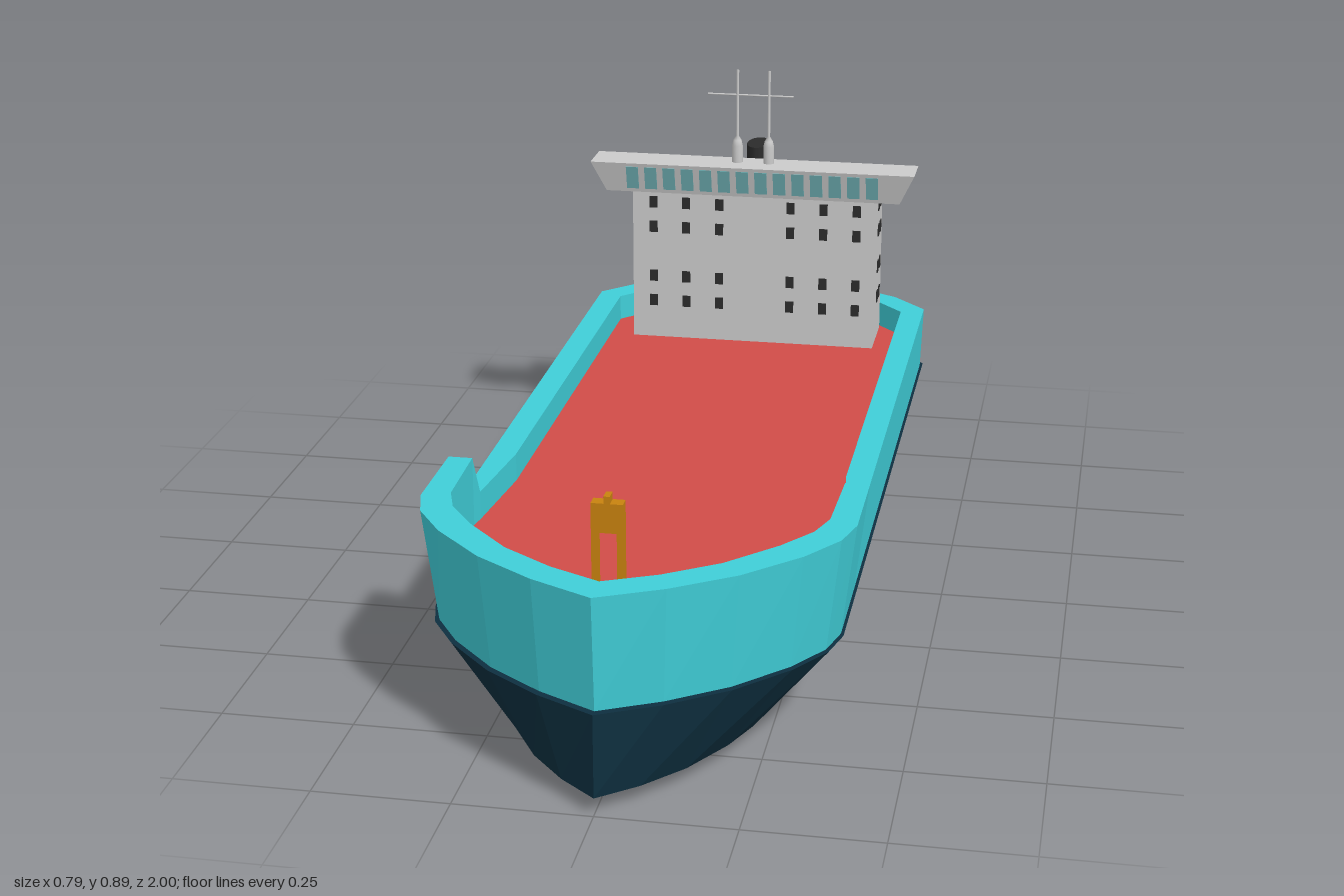
import * as THREE from 'three';

const mat = (name, color, extra = {}) => {
  const m = new THREE.MeshStandardMaterial({ color, ...extra });
  m.name = name;
  return m;
};

// Half outline from stern to bow: outer x, z, then inner rail x, z
const OUTLINE = [
  [0, -1, 0, -0.94], [0.16, -1, 0.14, -0.94], [0.3, -0.925, 0.26, -0.875],
  [0.375, -0.845, 0.325, -0.805], [0.375, 0.2, 0.325, 0.2], [0.375, 0.4, 0.345, 0.4],
  [0.375, 0.43, 0.35, 0.43], [0.375, 0.62, 0.345, 0.6], [0.357, 0.69, 0.325, 0.66],
  [0.305, 0.77, 0.275, 0.73], [0.215, 0.865, 0.19, 0.82], [0.11, 0.94, 0.095, 0.885],
  [0, 0.997, 0, 0.93],
];

// Closed ring of points made by mapping each half-outline row and mirroring it
function ring(fn) {
  const half = OUTLINE.map(fn);
  const other = half.slice(1, -1).reverse().map(([x, y, z]) => [-x, y, z]);
  return [...half, ...other];
}

// Faceted skin through successive rings
function loft(rings) {
  const pos = [];
  const same = (p, q) => p.every((v, i) => v === q[i]);
  const tri = (a, b, c) => {
    if (!same(a, b) && !same(b, c) && !same(a, c)) pos.push(...a, ...b, ...c);
  };
  for (let r = 0; r + 1 < rings.length; r++) {
    const a = rings[r], b = rings[r + 1], n = a.length;
    for (let i = 0; i < n; i++) {
      const j = (i + 1) % n;
      tri(a[i], b[i], a[j]);
      tri(a[j], b[i], b[j]);
    }
  }
  const g = new THREE.BufferGeometry();
  g.setAttribute('position', new THREE.Float32BufferAttribute(pos, 3));
  g.computeVertexNormals();
  return g;
}

export function createModel() {
  const teal = mat('teal paint', 0x40ced8, { flatShading: true });
  const navy = mat('dark hull paint', 0x0e2f3f, { flatShading: true });
  const red = mat('red deck', 0xd04c48);
  const grey = mat('light grey', 0xcbcbcb);
  const black = mat('black', 0x2b2b2b);
  const glass = mat('bridge glass', 0x70b0b4);
  const orange = mat('orange', 0xc8820f);

  const model = new THREE.Group();
  model.name = 'cargoShip';
  const add = (name, geo, material, x = 0, y = 0, z = 0, parent = model) => {
    const m = new THREE.Mesh(geo, material);
    m.name = name;
    m.position.set(x, y, z);
    parent.add(m);
    return m;
  };
  const group = (name) => {
    const g = new THREE.Group();
    g.name = name;
    model.add(g);
    return g;
  };
  // Box given by its limits
  const block = (name, material, [x0, x1], [y0, y1], [z0, z1], parent = model) =>
    add(name, new THREE.BoxGeometry(x1 - x0, y1 - y0, z1 - z0), material,
      (x0 + x1) / 2, (y0 + y1) / 2, (z0 + z1) / 2, parent);

  // Hull
  const railY = (z) => (z > 0.41 ? 0.405 : 0.325);
  const flare = (z) => (z > 0.41 ? 1.055 : 1);
  const chine = ring(([x, z]) => [x * 0.63, 0.033, z]);
  const waterline = ring(([x, z]) => [x, 0.19, z]);
  const base = ring(([x, z]) => [x * 0.985, 0.19, z * 0.985]);
  const outer = ring(([x, z]) => [x * flare(z), railY(z), z < -0.8 ? z * 0.985 : z]);
  const inner = ring(([, z, ix, iz]) => [ix, railY(z), iz]);
  const deckEdge = ring(([, , ix, iz]) => [ix, 0.27, iz]);
  const centre = (y) => ring(() => [0, y, 0]);
  add('hullBottom', loft([centre(0), ring(([x, z]) => [x * 0.37, 0, z * 0.6]), chine]), teal);
  add('lowerHull', loft([chine, waterline, base]), navy);
  add('upperHullAndBulwark', loft([base, outer, inner, deckEdge]), teal);
  add('deck', loft([deckEdge, centre(0.27)]), red);

  // Accommodation block and engine casing
  block('accommodation', grey, [-0.272, 0.272], [0.27, 0.616], [-0.85, -0.7]);
  block('engineCasing', grey, [-0.036, 0.036], [0.27, 0.53], [-0.922, -0.85]);

  // Bridge: narrower at the base, with a raked front
  const bridgeGeo = new THREE.BoxGeometry(0.72, 0.069, 0.092);
  const p = bridgeGeo.attributes.position;
  for (let i = 0; i < p.count; i++) {
    if (p.getY(i) > 0) continue;
    p.setX(i, p.getX(i) * 0.91);
    if (p.getZ(i) > 0) p.setZ(i, p.getZ(i) - 0.018);
  }
  const bridge = bridgeGeo.toNonIndexed();
  bridge.computeVertexNormals();
  add('bridge', bridge, grey, 0, 0.6485, -0.709);
  const bridgeWindows = group('bridgeWindows');
  for (let i = 0; i < 14; i++) {
    const w = add('bridgeWindow', new THREE.BoxGeometry(0.027, 0.054, 0.003), glass,
      -0.267 + i * 0.0411, 0.649, -0.672, bridgeWindows);
    w.rotation.x = Math.atan(0.018 / 0.069);
  }

  // Cabin windows
  const windows = group('cabinWindows');
  for (const y of [0.587, 0.53, 0.415, 0.357])
    for (const x of [-0.225, -0.151, -0.076, 0.084, 0.158, 0.232])
      add('frontWindow', new THREE.BoxGeometry(0.018, 0.026, 0.004), black, x, y, -0.7, windows);
  for (const s of [-1, 1])
    for (const y of [0.585, 0.525, 0.44, 0.37])
      for (const z of [-0.776, -0.813])
        add('sideWindow', new THREE.BoxGeometry(0.004, 0.026, 0.018), black, s * 0.272, y, z, windows);
  for (const [x, y] of [[0.235, 0.585], [0.085, 0.57], [-0.155, 0.535], [0.155, 0.415], [-0.155, 0.365]])
    add('backWindow', new THREE.BoxGeometry(0.018, 0.026, 0.004), black, x, y, -0.85, windows);

  // Funnel and exhaust pipes
  const funnel = add('funnel', new THREE.CylinderGeometry(1, 1, 0.092, 20), black, -0.005, 0.66, -0.805);
  funnel.scale.set(0.025, 1, 0.047);
  for (const x of [-0.015, 0.015]) {
    const path = new THREE.CatmullRomCurve3([
      [x, 0.525, -0.878], [x, 0.565, -0.878], [x, 0.583, -0.886], [x, 0.587, -0.906],
    ].map((v) => new THREE.Vector3(...v)));
    add('exhaustPipe', new THREE.TubeGeometry(path, 10, 0.011, 10), black);
    const end = add('exhaustMouth', new THREE.CircleGeometry(0.011, 10), black, x, 0.587, -0.906);
    end.rotation.y = Math.PI;
  }

  // Masts and crossbar
  const mastProfile = [[0.012, 0], [0.012, 0.04], [0.009, 0.052], [0.003, 0.062], [0.003, 0.21], [0, 0.21]]
    .map(([r, y]) => new THREE.Vector2(r, y));
  for (const x of [-0.039, 0.031])
    add('mast', new THREE.LatheGeometry(mastProfile, 12), grey, x, 0.681, -0.72);
  const bar = add('mastCrossbar', new THREE.CylinderGeometry(0.002, 0.002, 0.19, 8), grey, -0.01, 0.835, -0.72);
  bar.rotation.z = Math.PI / 2;

  // Bow gantry
  const gantry = group('bowGantry');
  block('gantryLeg', orange, [-0.019, -0.009], [0.27, 0.485], [0.88, 0.903], gantry);
  block('gantryLeg', orange, [0.025, 0.036], [0.27, 0.485], [0.88, 0.903], gantry);
  block('gantryBeam', orange, [-0.019, 0.036], [0.481, 0.534], [0.88, 0.903], gantry);
  block('gantryCap', orange, [0.003, 0.014], [0.534, 0.547], [0.88, 0.903], gantry);

  return model;
}
